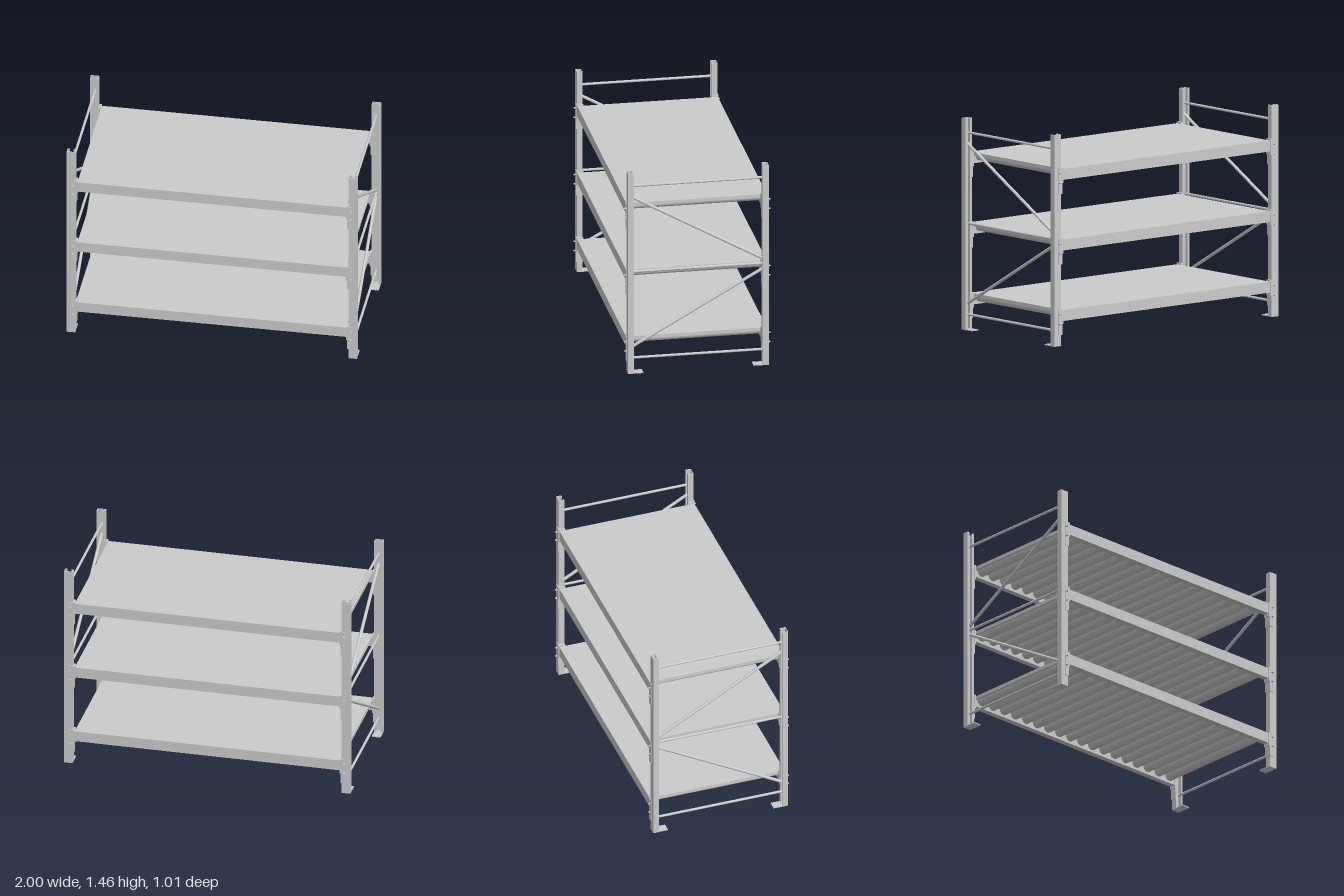
import * as THREE from 'three';
import { toCreasedNormals } from 'three/addons/utils/BufferGeometryUtils.js';

const material = new THREE.MeshStandardMaterial({ color: 0xcccccc, side: THREE.DoubleSide });
const HEIGHT = 1.455;
const POST_X = 0.97;
const SHELF_TOPS = [0.245, 0.73, 1.215];

function add(parent, name, geometry, x = 0, y = 0, z = 0) {
  const mesh = new THREE.Mesh(geometry, material);
  mesh.name = name;
  mesh.position.set(x, y, z);
  parent.add(mesh);
  return mesh;
}

// Box given by its lower and upper limits on each axis
function addBox(parent, name, [x0, x1], [y0, y1], [z0, z1]) {
  const geometry = new THREE.BoxGeometry(Math.abs(x1 - x0), y1 - y0, Math.abs(z1 - z0));
  return add(parent, name, geometry, (x0 + x1) / 2, (y0 + y1) / 2, (z0 + z1) / 2);
}

// Round tube between two points
function addRod(parent, name, a, b, radius) {
  const dir = b.clone().sub(a);
  const mid = a.clone().add(b).multiplyScalar(0.5);
  const rod = add(parent, name, new THREE.CylinderGeometry(radius, radius, dir.length(), 16), mid.x, mid.y, mid.z);
  rod.quaternion.setFromUnitVectors(new THREE.Vector3(0, 1, 0), dir.normalize());
}

// Lipped channel, open toward the middle of the rack
function postGeometry() {
  const half = [[0, -0.485], [0.03, -0.485], [0.03, -0.445], [0.013, -0.445], [0.013, -0.45], [0.025, -0.45], [0.025, -0.48], [0, -0.48]];
  const outline = [...half, ...half.slice(1, -1).reverse().map(([x, y]) => [-x, y])];
  const shape = new THREE.Shape(outline.map(([x, y]) => new THREE.Vector2(x, y)));
  return new THREE.ExtrudeGeometry(shape, { depth: HEIGHT, bevelEnabled: false }).rotateX(-Math.PI / 2);
}

// Flat deck with round ribs underneath, running front to back
function deckGeometry() {
  const ribs = 18, halfWidth = 0.925, pitch = (2 * halfWidth) / ribs, r = 0.035;
  const shape = new THREE.Shape();
  shape.moveTo(halfWidth, 0);
  shape.lineTo(-halfWidth, 0);
  shape.lineTo(-halfWidth, -0.024);
  for (let i = 0; i < ribs; i++) {
    const cx = -halfWidth + pitch * (i + 0.5);
    shape.lineTo(cx - r, -0.024);
    shape.absarc(cx, -0.024, r, Math.PI, 2 * Math.PI, false);
  }
  shape.lineTo(halfWidth, -0.024);
  const geometry = new THREE.ExtrudeGeometry(shape, { depth: 0.89, bevelEnabled: false, curveSegments: 10 });
  return toCreasedNormals(geometry.translate(0, 0, -0.445), 0.6);
}

export function createModel() {
  const model = new THREE.Group();
  model.name = 'storageRack';
  const post = postGeometry();
  const deck = deckGeometry();
  const pin = new THREE.CylinderGeometry(0.004, 0.008, 0.018, 12).rotateX(Math.PI / 2);

  for (const sx of [-1, 1]) {
    const frame = new THREE.Group();
    frame.name = sx > 0 ? 'leftFrame' : 'rightFrame';
    model.add(frame);

    // Uprights with foot plates
    for (const sz of [-1, 1]) {
      add(frame, 'upright', post, sx * POST_X).rotation.y = sz > 0 ? 0 : Math.PI;
      addBox(frame, 'footPlate', [sx * 0.94, sx * 1], [0, 0.007], [sz * 0.38, sz * 0.484]);
    }

    // Horizontal and diagonal bracing
    const point = (y, z) => new THREE.Vector3(sx * 0.966, y, z);
    for (const y of [0.105, 0.731, 1.355]) addRod(frame, 'horizontalBrace', point(y, 0.465), point(y, -0.465), 0.009);
    addRod(frame, 'upperDiagonal', point(1.28, 0.462), point(0.76, -0.462), 0.011);
    addRod(frame, 'lowerDiagonal', point(0.18, 0.462), point(0.7, -0.462), 0.011);
  }

  SHELF_TOPS.forEach((top, i) => {
    const shelf = new THREE.Group();
    shelf.name = `shelf${i + 1}`;
    model.add(shelf);
    add(shelf, 'ribbedDeck', deck, 0, top, 0);

    for (const sz of [-1, 1]) {
      addBox(shelf, 'beam', [-0.928, 0.928], [top - 0.075, top], [sz * 0.444, sz * 0.485]);

      // Angle brackets hooking the beam ends onto the uprights
      for (const sx of [-1, 1]) {
        const range = [top - 0.168, top + 0.01];
        addBox(shelf, 'bracketSide', [sx * 0.933, sx * 0.94], range, [sz * 0.445, sz * 0.491]);
        addBox(shelf, 'bracketTab', [sx * 0.925, sx * 0.934], [top - 0.095, top + 0.01], [sz * 0.443, sz * 0.491]);
        addBox(shelf, 'bracketFace', [sx * 0.933, sx * 0.966], range, [sz * 0.485, sz * 0.491]);
        for (const drop of [0.025, 0.093]) {
          add(shelf, 'bracketPin', pin, sx * 0.956, top - drop, sz * 0.497).rotation.y = sz > 0 ? 0 : Math.PI;
        }
      }
    }
  });

  return model;
}
